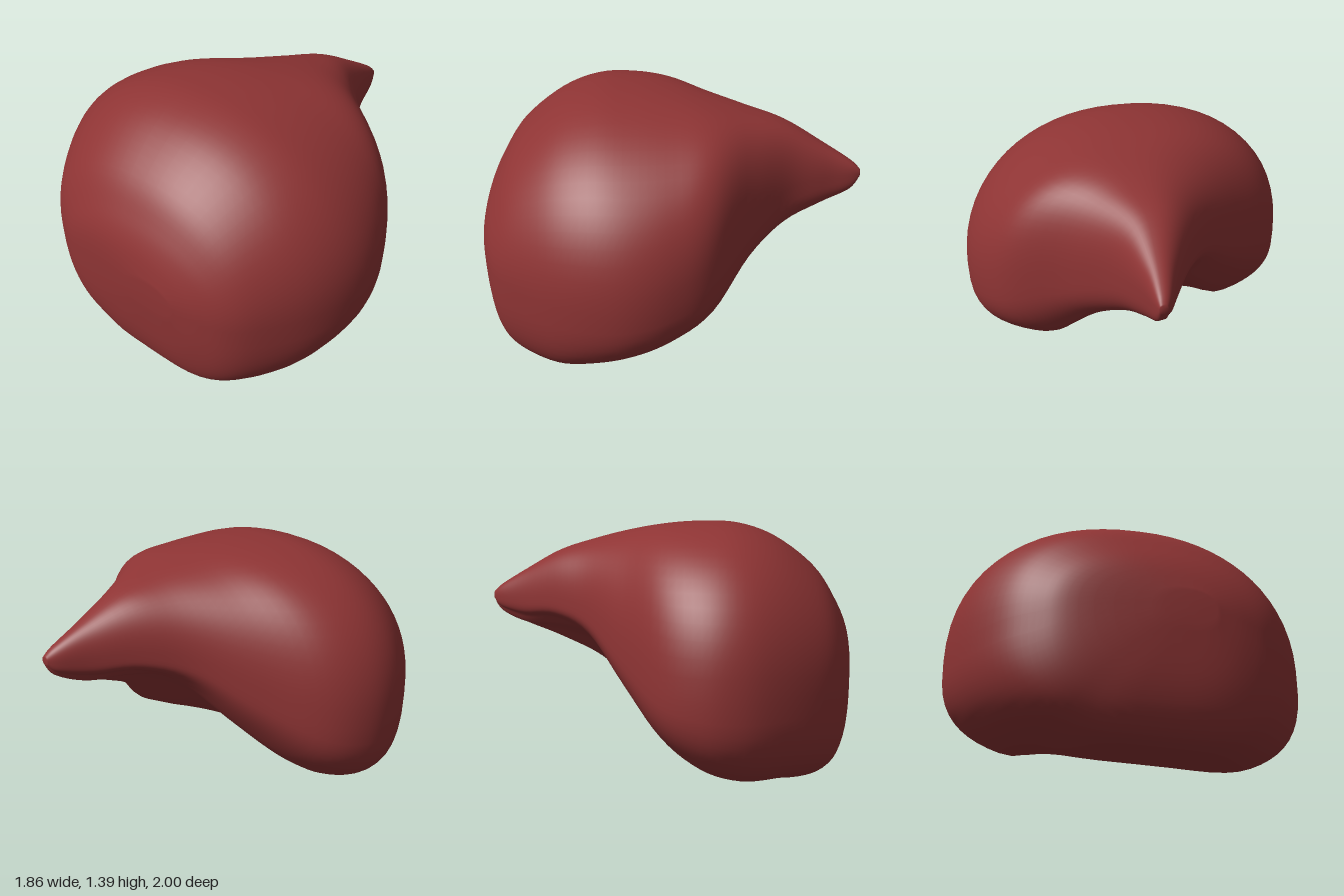
import * as THREE from 'three';

// Cross-sections from rear tip to front:
// z, xLeft, xRight, yTop, yWideLeft, yWideRight, lowLeft, lowMid, lowRight
const SECTIONS = [
  [-1.0, 0.15, 0.19, 0.99, 0.97, 0.97, 0.95, 0.95, 0.95],
  [-0.95, 0.11, 0.205, 1.035, 0.96, 0.96, 0.90, 0.88, 0.87],
  [-0.8, 0.025, 0.235, 1.125, 0.95, 0.94, 0.86, 0.82, 0.79],
  [-0.6, -0.11, 0.315, 1.235, 0.95, 0.89, 0.86, 0.81, 0.69],
  [-0.4, -0.28, 0.50, 1.30, 0.89, 0.78, 0.77, 0.76, 0.555],
  [-0.2, -0.54, 0.76, 1.35, 0.73, 0.68, 0.52, 0.61, 0.33],
  [0.0, -0.81, 0.88, 1.385, 0.62, 0.62, 0.28, 0.44, 0.205],
  [0.2, -0.92, 0.93, 1.40, 0.60, 0.60, 0.125, 0.28, 0.115],
  [0.4, -0.92, 0.91, 1.39, 0.60, 0.60, 0.06, 0.13, 0.04],
  [0.6, -0.83, 0.83, 1.32, 0.60, 0.60, 0.06, 0.03, -0.02],
  [0.8, -0.68, 0.69, 1.17, 0.60, 0.60, 0.07, 0.03, 0.0],
  [0.91, -0.53, 0.57, 1.01, 0.60, 0.60, 0.13, 0.10, 0.08],
  [0.97, -0.35, 0.43, 0.88, 0.62, 0.62, 0.30, 0.28, 0.26],
  [1.0, 0.04, 0.29, 0.74, 0.65, 0.65, 0.57, 0.57, 0.57],
];

// Smooth interpolation of every section value
function sectionAt(t) {
  const last = SECTIONS.length - 1;
  const i = Math.min(Math.floor(t), last - 1);
  const f = t - i;
  const row = (k) => SECTIONS[Math.max(0, Math.min(last, k))];
  return row(i).map((b, n) => {
    const a = row(i - 1)[n], c = row(i + 1)[n], d = row(i + 2)[n];
    return b + 0.5 * f * (c - a + f * (2 * a - 5 * b + 4 * c - d + f * (3 * (b - c) + d - a)));
  });
}

// Rounded upper arch, fuller toward the tip, with a hollow between two lobes underneath
function sectionPoint(s, angle) {
  const [z, xl, xr, top, wideL, wideR, lowL, lowM, lowR] = s;
  const c = Math.cos(angle), sn = Math.sin(angle);
  const rightPower = 0.8 + 0.15 * THREE.MathUtils.smoothstep(z, -0.4, 0.2);
  const power = sn < 0 ? 0.68 : c < 0 ? 0.87 : rightPower;
  const cx = Math.sign(c) * Math.abs(c) ** power;
  const rise = Math.abs(sn) ** power;
  const wide = THREE.MathUtils.lerp(wideL, wideR, (cx + 1) / 2);
  const offset = c + 0.13;
  const lobe = THREE.MathUtils.smoothstep(Math.abs(offset), 0, offset < 0 ? 0.4 : 0.68);
  const low = THREE.MathUtils.lerp(lowM, offset < 0 ? lowL : lowR, lobe);
  const y = sn >= 0 ? wide + (top - wide) * rise : wide - (wide - low) * rise;
  return [(xl + xr) / 2 + ((xr - xl) / 2) * cx, Math.max(y, 0), z];
}

function bodyGeometry() {
  const rows = 65, sides = 64;
  const positions = [], indices = [];
  for (let i = 0; i <= rows; i++) {
    const s = sectionAt((i / rows) * (SECTIONS.length - 1));
    for (let j = 0; j < sides; j++) positions.push(...sectionPoint(s, (j / sides) * Math.PI * 2));
  }
  for (let i = 0; i < rows; i++) {
    for (let j = 0; j < sides; j++) {
      const k = (j + 1) % sides;
      const a = i * sides + j, b = i * sides + k, d = a + sides, e = b + sides;
      indices.push(a, b, d, b, e, d);
    }
  }
  // Close the rear tip and the front
  const rear = positions.length / 3, front = rear + 1;
  positions.push(0.17, 0.97, -1.0, 0.16, 0.65, 1.0);
  for (let j = 0; j < sides; j++) {
    const k = (j + 1) % sides;
    indices.push(rear, k, j, front, rows * sides + j, rows * sides + k);
  }
  const geometry = new THREE.BufferGeometry();
  geometry.setAttribute('position', new THREE.Float32BufferAttribute(positions, 3));
  geometry.setIndex(indices);
  geometry.computeVertexNormals();
  return geometry;
}

export function createModel() {
  const model = new THREE.Group();
  model.name = 'pointedCap';
  const red = new THREE.MeshStandardMaterial({ color: 0x8e3434 });
  red.name = 'brick red';
  const body = new THREE.Mesh(bodyGeometry(), red);
  body.name = 'body';
  model.add(body);
  return model;
}
